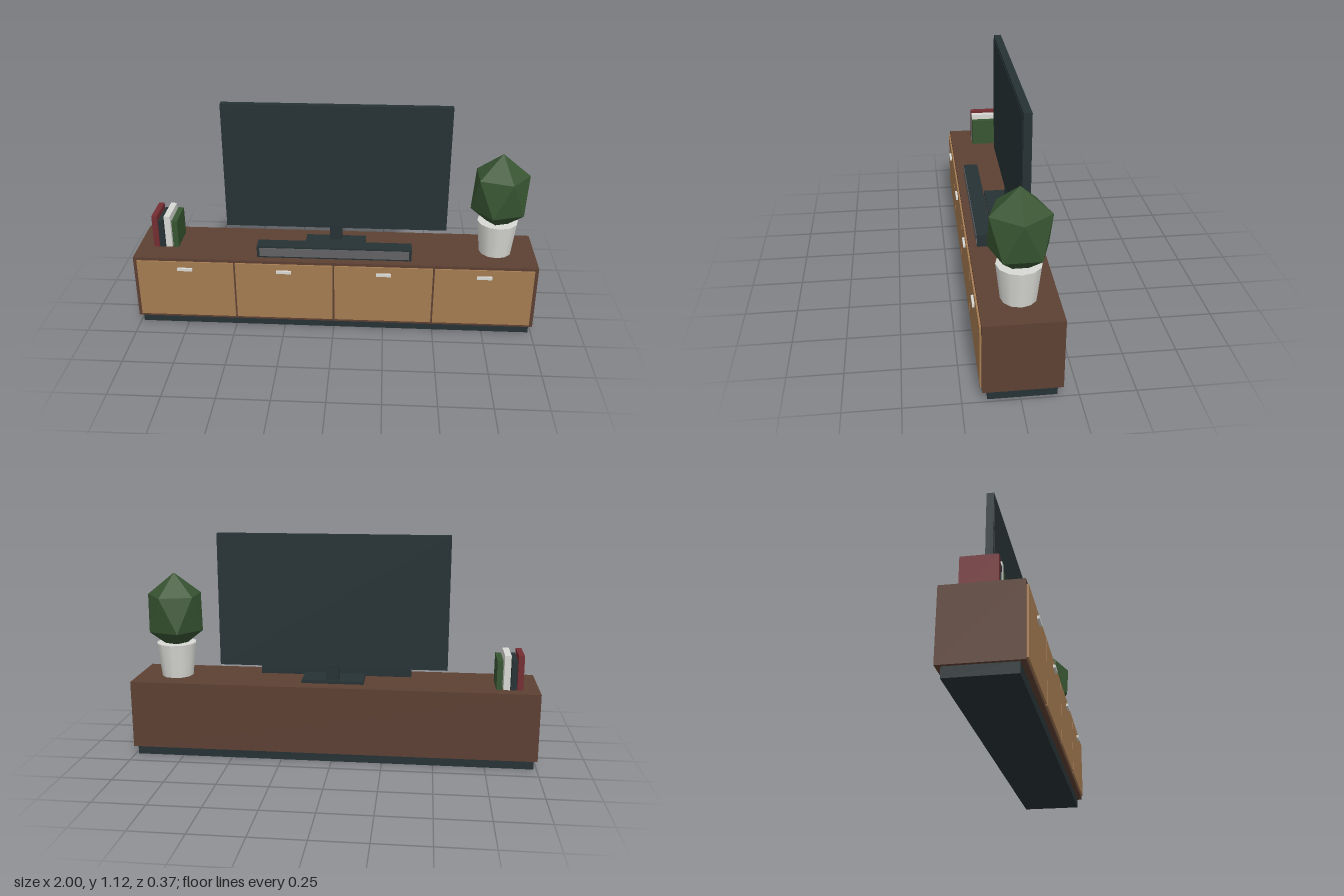
import * as THREE from 'three';

const mat = (name, color) => {
  const m = new THREE.MeshStandardMaterial({ color });
  m.name = name;
  return m;
};

export function createModel() {
  const walnut = mat('walnut', 0x5d4033);
  const oak = mat('oak', 0xa67c52);
  const charcoal = mat('charcoal', 0x263235);
  const grey = mat('grey', 0x626264);
  const light = mat('light', 0xd8d8d4);
  const red = mat('red', 0x742e33);
  const green = mat('green', 0x385532);

  const model = new THREE.Group();
  model.name = 'mediaUnit';

  const add = (name, geometry, material) => {
    const mesh = new THREE.Mesh(geometry, material);
    mesh.name = name;
    model.add(mesh);
    return mesh;
  };
  // Box given by its limits on each axis
  const box = (name, material, [x0, x1], [y0, y1], [z0, z1]) => {
    const mesh = add(name, new THREE.BoxGeometry(x1 - x0, y1 - y0, z1 - z0), material);
    mesh.position.set((x0 + x1) / 2, (y0 + y1) / 2, (z0 + z1) / 2);
    return mesh;
  };

  // Cabinet on a recessed plinth
  const top = 0.385;
  box('plinth', charcoal, [-0.985, 0.985], [0, 0.048], [-0.159, 0.141]);
  box('cabinet', walnut, [-1, 1], [0.048, top], [-0.182, 0.164]);

  // Four doors with bar handles
  for (let i = 0; i < 4; i++) {
    const x = (i - 1.5) * 0.493;
    box('door', oak, [x - 0.242, x + 0.242], [0.063, 0.37], [0.164, 0.172]);
    box('handle', light, [x - 0.037, x + 0.037], [0.325, 0.339], [0.172, 0.183]);
  }

  // Television, neck and foot
  box('television', charcoal, [-0.56, 0.56], [0.466, 1.116], [-0.095, -0.058]);
  box('screen', charcoal, [-0.545, 0.545], [0.481, 1.101], [-0.058, -0.056]);
  box('televisionNeck', charcoal, [-0.031, 0.031], [0.395, 0.48], [-0.1, -0.055]);
  box('televisionFoot', charcoal, [-0.153, 0.153], [top, 0.4], [-0.106, 0.04]);

  // Soundbar with front grille
  box('soundbar', charcoal, [-0.383, 0.383], [top, 0.446], [0.053, 0.125]);
  box('soundbarGrille', grey, [-0.37, 0.37], [0.393, 0.438], [0.125, 0.128]);

  // Row of books
  [[-0.921, 0.028, 0.555, red], [-0.89, 0.027, 0.53, charcoal],
    [-0.859, 0.031, 0.555, light], [-0.822, 0.028, 0.53, green]].forEach(([x, w, h, m]) =>
    box('book', m, [x, x + w], [top, h], [-0.12, 0.043]));

  // Tapered plant pot
  const pot = add('plantPot', new THREE.CylinderGeometry(0.1, 0.08, 0.17, 12), light);
  pot.position.set(0.805, top + 0.085, -0.012);

  // Faceted foliage: icosahedron standing on a corner, stretched upward
  const leaf = new THREE.IcosahedronGeometry(0.154, 0);
  leaf.rotateZ(-Math.atan(2 / (1 + Math.sqrt(5))));
  leaf.scale(1, 1.3, 1);
  leaf.computeVertexNormals();
  add('foliage', leaf, green).position.set(0.805, 0.709, -0.012);

  return model;
}
